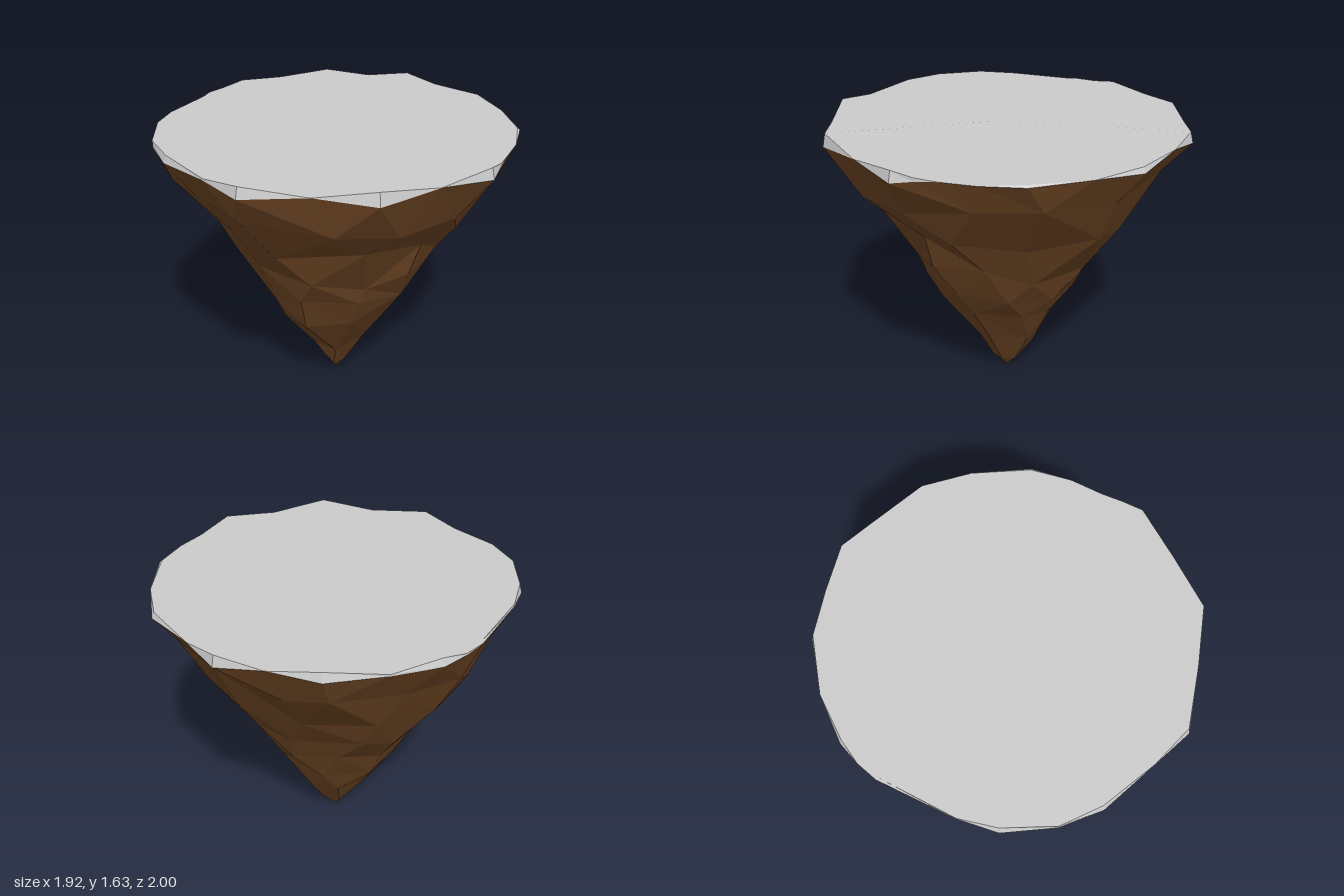
import * as THREE from 'three';

// Rim outline: x, z, upper height, lower height. Even entries are corners.
const RIM = [
  [0.96, 0.24, 1.62, 1.56], [0.8, 0.5, 1.59, 1.59], [0.62, 0.77, 1.63, 1.56], [0.33, 0.88, 1.59, 1.59],
  [0.01, 1.0, 1.62, 1.56], [-0.22, 0.93, 1.59, 1.58], [-0.53, 0.83, 1.61, 1.57], [-0.71, 0.69, 1.61, 1.57],
  [-0.87, 0.47, 1.61, 1.56], [-0.92, 0.27, 1.6, 1.58], [-0.96, -0.15, 1.59, 1.59], [-0.94, -0.27, 1.59, 1.58],
  [-0.9, -0.4, 1.61, 1.57], [-0.75, -0.62, 1.59, 1.58], [-0.53, -0.83, 1.62, 1.57], [-0.28, -0.92, 1.59, 1.59],
  [-0.04, -1.0, 1.62, 1.56], [0.17, -0.94, 1.59, 1.59], [0.49, -0.85, 1.6, 1.57], [0.69, -0.66, 1.59, 1.59],
  [0.88, -0.4, 1.6, 1.59], [0.93, -0.18, 1.59, 1.59], [0.94, 0, 1.59, 1.59], [0.95, 0.12, 1.6, 1.58],
];
const START = Math.atan2(RIM[0][1], RIM[0][0]);
const TAU = Math.PI * 2;

// Rock profile from the tip up: y, then extents to -x, +x, -z, +z
const PROFILE = [
  [0, 0.02, 0.02, 0.02, 0.02],
  [0.07, 0.08, 0.04, 0.07, 0.08],
  [0.27, 0.22, 0.15, 0.21, 0.18],
  [0.53, 0.39, 0.34, 0.35, 0.4],
  [0.7, 0.47, 0.44, 0.45, 0.48],
  [0.9, 0.61, 0.56, 0.54, 0.57],
  [1.14, 0.77, 0.68, 0.72, 0.7],
  [1.37, 0.88, 0.85, 0.87, 0.88],
  [1.57, 0.96, 0.96, 1, 1],
];

// Facet rows: height, corner count
const ROWS = [[0.08, 5], [0.27, 7], [0.52, 9], [0.7, 10], [0.9, 12], [1.14, 13], [1.38, 15]];

function seeded(seed) {
  return () => {
    seed = (seed * 16807) % 2147483647;
    return seed / 2147483647;
  };
}

function extentsAt(y) {
  const k = PROFILE.findIndex((row) => row[0] > y);
  const [a, b] = [PROFILE[k - 1], PROFILE[k]];
  const t = (y - a[0]) / (b[0] - a[0]);
  return a.map((v, i) => v + (b[i] - v) * t);
}

// A ring corner with its angle measured from the first rim corner
function corner(x, y, z) {
  const angle = (Math.atan2(z, x) - START + TAU + 1e-6) % TAU;
  return { point: new THREE.Vector3(x, y, z), angle };
}

// One jittered cross-section of the rock, ordered by angle
function rockRing([height, count], random) {
  const shift = random();
  const ring = [];
  for (let i = 0; i < count; i++) {
    const a = ((i + shift + (random() - 0.5) * 0.5) / count) * TAU;
    const y = height + (random() - 0.5) * Math.min(0.13, height * 0.4);
    const [, xn, xp, zn, zp] = extentsAt(y);
    const s = 0.95 + 0.08 * random();
    const [c, d] = [Math.cos(a), Math.sin(a)];
    ring.push(corner(c * (c < 0 ? xn : xp) * s, y, d * (d < 0 ? zn : zp) * s));
  }
  return ring.sort((p, q) => p.angle - q.angle);
}

// Triangles joining two rings whose corner counts may differ
function addBand(out, low, high) {
  const angleAt = (ring, i) => ring[i % ring.length].angle + (i >= ring.length ? TAU : 0);
  let i = 0;
  let j = 0;
  while (i < low.length || j < high.length) {
    const l = low[i % low.length].point;
    const h = high[j % high.length].point;
    const stepLow = j === high.length || (i < low.length && angleAt(low, i + 1) < angleAt(high, j + 1));
    if (stepLow) out.push(l, h, low[++i % low.length].point);
    else out.push(l, h, high[++j % high.length].point);
  }
}

function facetGeometry(points) {
  const g = new THREE.BufferGeometry().setFromPoints(points);
  g.computeVertexNormals();
  return g;
}

export function createModel() {
  const group = new THREE.Group();
  const random = seeded(4217);

  // Faceted rock tapering to a point
  const lowerRim = RIM.map(([x, z, , y]) => corner(x, y, z));
  const rings = ROWS.map((row) => rockRing(row, random));
  rings.push(lowerRim);
  const rockPoints = [];
  const tip = new THREE.Vector3(-0.02, 0, 0);
  rings[0].forEach((c, i) => rockPoints.push(tip, c.point, rings[0][(i + 1) % rings[0].length].point));
  for (let k = 0; k + 1 < rings.length; k++) addBand(rockPoints, rings[k], rings[k + 1]);
  const rock = new THREE.Mesh(
    facetGeometry(rockPoints),
    new THREE.MeshStandardMaterial({ color: 0x6b4423, flatShading: true })
  );
  rock.name = 'rock';
  group.add(rock);

  // Thin uneven edge between the rock and the ground surface
  const upperRim = RIM.map(([x, z, y], i) => {
    const s = i % 2 ? 1 : 0.985;
    return corner(x * s, y, z * s);
  });
  const edgePoints = [];
  addBand(edgePoints, lowerRim, upperRim);
  const edge = new THREE.Mesh(
    facetGeometry(edgePoints),
    new THREE.MeshStandardMaterial({ color: 0xcccccc, flatShading: true, side: THREE.DoubleSide })
  );
  edge.name = 'groundEdge';
  group.add(edge);

  // Ground surface, shaded as one even plane
  const topPoints = [];
  const centre = new THREE.Vector3(0, 1.59, 0);
  upperRim.forEach((c, i) => topPoints.push(centre, upperRim[(i + 1) % RIM.length].point, c.point));
  const topGeometry = facetGeometry(topPoints);
  const normals = topGeometry.attributes.normal;
  for (let i = 0; i < normals.count; i++) normals.setXYZ(i, 0, 1, 0);
  const top = new THREE.Mesh(
    topGeometry,
    new THREE.MeshStandardMaterial({ color: 0xcccccc, side: THREE.DoubleSide })
  );
  top.name = 'groundSurface';
  group.add(top);

  return group;
}
